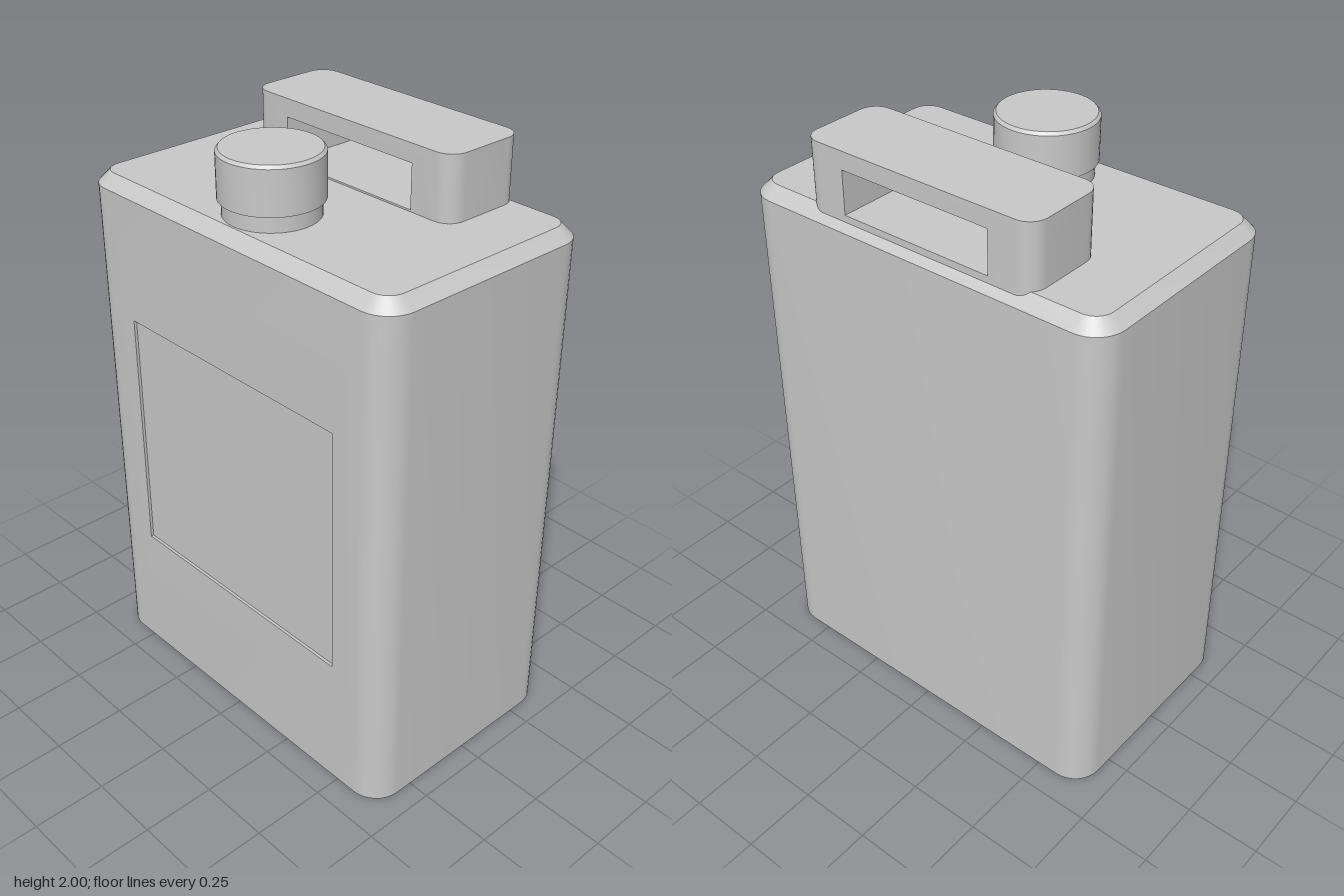
import * as THREE from 'three';
import { toCreasedNormals } from 'three/addons/utils/BufferGeometryUtils.js';

const SEG = 8; // segments per rounded corner

// Rounded rectangle in plan, running from +x through +z to -x and -z
function ring({ w, d, r, y, z = 0 }) {
  const pts = [];
  [[1, 1], [-1, 1], [-1, -1], [1, -1]].forEach(([sx, sz], corner) => {
    for (let i = 0; i <= SEG; i++) {
      const a = (corner + i / SEG) * Math.PI / 2;
      pts.push([sx * (w / 2 - r) + r * Math.cos(a), y, z + sz * (d / 2 - r) + r * Math.sin(a)]);
    }
  });
  return pts;
}
const FRONT = SEG, BACK = 3 * SEG + 2; // ring indices where the flat sides begin

const quad = (out, a, b, c, d) => out.push(a, b, c, a, c, d);

// Rectangle corners, counter-clockwise seen from the front
const rect = (x, y0, y1, z) => [[-x, y0, z], [x, y0, z], [x, y1, z], [-x, y1, z]];

// Wall between two rings, leaving out the flat sides listed in skip
function wall(out, low, high, skip = []) {
  low.forEach((p, i) => {
    if (skip.includes(i)) return;
    const j = (i + 1) % low.length;
    quad(out, p, high[i], high[j], low[j]);
  });
}

// Flat end of a ring
function cap(out, pts, z, up) {
  const c = [0, pts[0][1], z];
  pts.forEach((p, i) => {
    const q = pts[(i + 1) % pts.length];
    if (up) out.push(c, q, p); else out.push(c, p, q);
  });
}

// Flat frame between an outer and an inner rectangle
function frame(out, outer, inner, flip = false) {
  for (let i = 0; i < 4; i++) {
    const j = (i + 1) % 4;
    if (flip) quad(out, outer[i], inner[i], inner[j], outer[j]);
    else quad(out, outer[i], outer[j], inner[j], inner[i]);
  }
}

function toGeometry(points) {
  const g = new THREE.BufferGeometry();
  g.setAttribute('position', new THREE.Float32BufferAttribute(points.flat(), 3));
  g.computeVertexNormals();
  return toCreasedNormals(g, 0.5);
}

// Canister body with chamfered shoulder and a shallow label recess in the front
function bodyGeometry() {
  const out = [];
  const w = 1.35, d = 0.82, r = 0.1, inset = 0.04;
  const low = ring({ w, d, r, y: 0 });
  const shoulder = ring({ w, d, r, y: 1.75 });
  const top = ring({ w: w - 2 * inset, d: d - 2 * inset, r: r - inset, y: 1.79 });
  wall(out, low, shoulder, [FRONT]);
  wall(out, shoulder, top);
  cap(out, low, 0, false);
  cap(out, top, 0, true);
  const rim = rect(0.47, 0.465, 1.325, d / 2);
  const floor = rect(0.47, 0.465, 1.325, d / 2 - 0.01);
  frame(out, rect(w / 2 - r, 0, 1.75, d / 2), rim);
  frame(out, rim, floor); // recess sides
  quad(out, ...floor);
  return toGeometry(out);
}

// Handle: rounded block with a rectangular grip opening right through
function handleGeometry() {
  const out = [];
  const w = 0.85, d = 0.3, r = 0.06, z = -0.237, y0 = 1.755, y1 = 2;
  const low = ring({ w, d, r, z, y: y0 });
  const top = ring({ w, d, r, z, y: y1 });
  wall(out, low, top, [FRONT, BACK]);
  cap(out, low, z, false);
  cap(out, top, z, true);
  const zf = z + d / 2, zb = z - d / 2;
  const holeFront = rect(0.27, 1.796, 1.94, zf);
  const holeBack = rect(0.27, 1.796, 1.94, zb);
  frame(out, rect(w / 2 - r, y0, y1, zf), holeFront);
  frame(out, rect(w / 2 - r, y0, y1, zb), holeBack, true);
  frame(out, holeFront, holeBack); // inside of the grip opening
  return toGeometry(out);
}

// Round part turned from a few profile points
function turned(profile) {
  const g = new THREE.LatheGeometry(profile.map(([x, y]) => new THREE.Vector2(x, y)), 48);
  return toCreasedNormals(g, 0.5);
}

export function createModel() {
  const model = new THREE.Group();
  model.name = 'canister';
  const grey = new THREE.MeshStandardMaterial({ color: 0xc8c8c8 });
  grey.name = 'light grey';

  const add = (name, geometry, z = 0) => {
    const mesh = new THREE.Mesh(geometry, grey);
    mesh.name = name;
    mesh.position.z = z;
    model.add(mesh);
  };

  add('body', bodyGeometry());
  add('handle', handleGeometry());
  add('neck', turned([[0.15, 1.78], [0.15, 1.845]]), 0.213);
  add('cap', turned([[0, 1.842], [0.1625, 1.842], [0.1625, 1.985], [0.154, 1.995], [0, 1.995]]), 0.213);
  return model;
}
